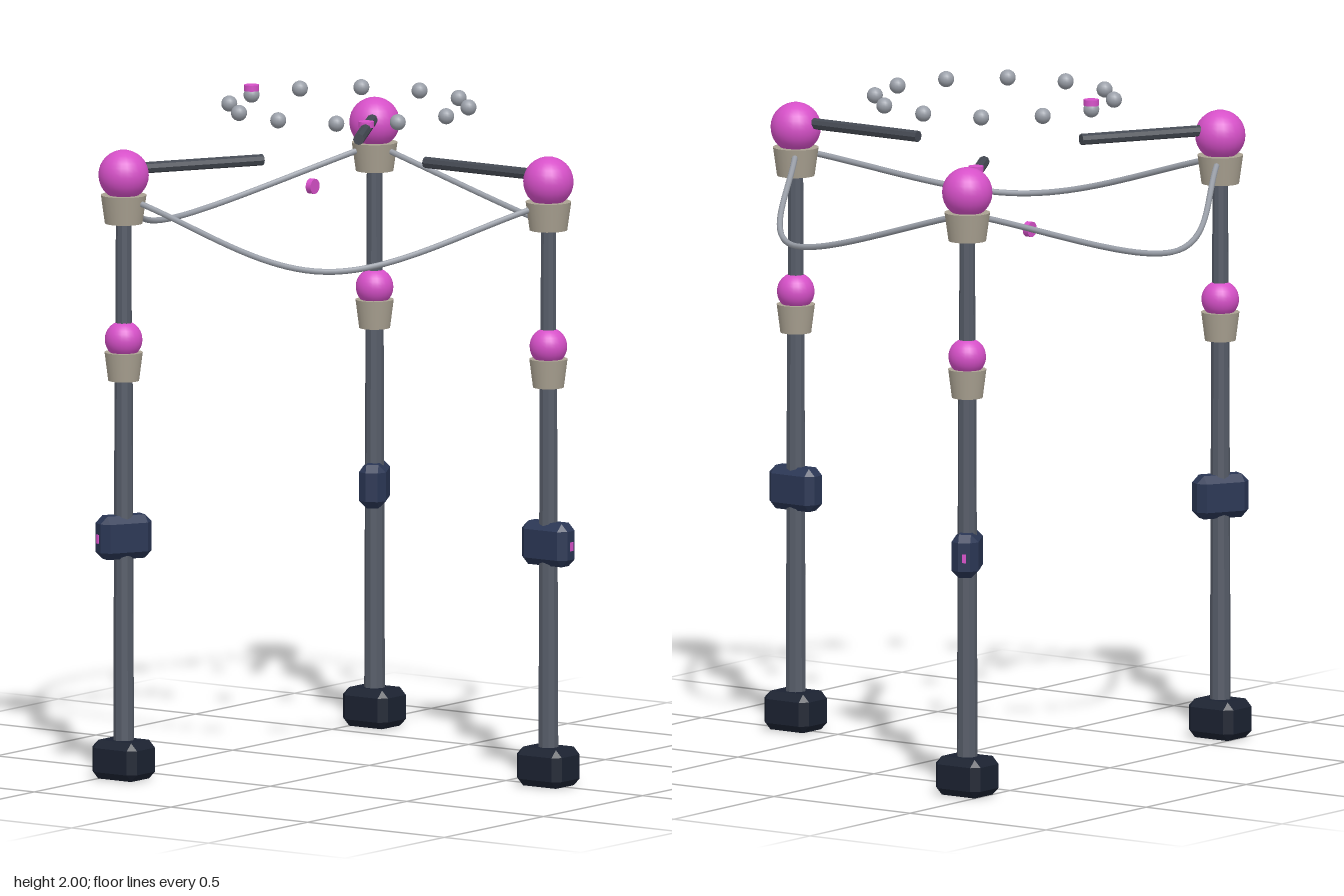
import * as THREE from 'three';
import { ConvexGeometry } from 'three/addons/geometries/ConvexGeometry.js';

const CX = -0.075;   // x of the tripod's axis
const POLE_R = 0.73; // distance of the poles from the axis

const mat = (color, flatShading = false) => {
  const m = new THREE.MeshStandardMaterial({ color });
  m.flatShading = flatShading;
  return m;
};

// Box with every edge cut at 45 degrees
function chamferBox(w, h, d, c) {
  const [a, b, e] = [w / 2, h / 2, d / 2];
  const points = [];
  for (const x of [-1, 1]) for (const y of [-1, 1]) for (const z of [-1, 1]) {
    points.push(
      new THREE.Vector3(x * a, y * (b - c), z * (e - c)),
      new THREE.Vector3(x * (a - c), y * b, z * (e - c)),
      new THREE.Vector3(x * (a - c), y * (b - c), z * e));
  }
  return new ConvexGeometry(points);
}

function add(parent, name, geometry, material, x = 0, y = 0, z = 0) {
  const mesh = new THREE.Mesh(geometry, material);
  mesh.name = name;
  mesh.position.set(x, y, z);
  parent.add(mesh);
  return mesh;
}

// Point at a radius and angle around the tripod's axis
const polar = (r, angle, y) =>
  new THREE.Vector3(CX + r * Math.cos(angle), y, r * Math.sin(angle));

export function createModel() {
  const model = new THREE.Group();
  model.name = 'tripodFrame';

  const pink = mat(0xd650c8);
  const steel = mat(0x565c68, true);
  const darkSteel = mat(0x444952, true);
  const navy = mat(0x2a3654, true);
  const black = mat(0x1b2231, true);
  const beige = mat(0xaaa292);
  const silver = mat(0x9a9fa8);

  const footGeo = chamferBox(0.164, 0.116, 0.134, 0.022);
  const boxGeo = chamferBox(0.166, 0.13, 0.08, 0.022);
  const lowerGeo = new THREE.CylinderGeometry(0.027, 0.031, 1.18, 10);
  const upperGeo = new THREE.CylinderGeometry(0.023, 0.025, 0.52, 10);
  const lowerCup = new THREE.CylinderGeometry(0.057, 0.046, 0.085, 24);
  const upperCup = new THREE.CylinderGeometry(0.068, 0.056, 0.085, 24);
  const lowerBall = new THREE.SphereGeometry(0.056, 24, 16);
  const upperBall = new THREE.SphereGeometry(0.075, 24, 16);
  const armGeo = new THREE.CylinderGeometry(0.017, 0.017, 0.45, 8);
  const lampGeo = new THREE.BoxGeometry(0.012, 0.026, 0.012);

  // Three poles, each with foot, clamp, two joints and an inward arm
  for (let i = 0; i < 3; i++) {
    const angle = (i * 2 * Math.PI) / 3;
    const p = polar(POLE_R, angle, 0);
    const pole = new THREE.Group();
    pole.name = 'pole' + (i + 1);
    pole.position.copy(p);
    pole.rotation.y = -angle; // local +x points outward
    model.add(pole);

    add(model, 'foot', footGeo, black, p.x, 0.058, p.z);
    add(pole, 'lowerTube', lowerGeo, steel, 0, 0.65, 0);
    add(pole, 'upperTube', upperGeo, steel, 0, 1.46, 0);
    add(pole, 'clampBox', boxGeo, navy, 0, 0.725, 0);
    add(pole, 'clampLamp', lampGeo, pink, 0.081, 0.722, 0);
    add(pole, 'lowerCup', lowerCup, beige, 0, 1.235, 0);
    add(pole, 'lowerBall', lowerBall, pink, 0, 1.315, 0);
    add(pole, 'upperCup', upperCup, beige, 0, 1.706, 0);
    add(pole, 'upperBall', upperBall, pink, 0, 1.808, 0);
    add(pole, 'arm', armGeo, darkSteel, -0.225, 1.825, 0).rotation.z = Math.PI / 2;

    // Cable sagging outward to the next pole
    const cable = new THREE.CatmullRomCurve3([
      polar(POLE_R, angle, 1.742),
      polar(0.655, angle + Math.PI / 3, 1.572),
      polar(POLE_R, angle + (2 * Math.PI) / 3, 1.742),
    ]);
    add(model, 'cable', new THREE.TubeGeometry(cable, 48, 0.009, 8), silver);
  }

  // Floating ring of beads
  const beadGeo = new THREE.SphereGeometry(0.024, 16, 12);
  for (let i = 0; i < 12; i++) {
    const p = polar(0.356, (i * Math.PI) / 6, 1.97);
    add(model, 'bead', beadGeo, silver, p.x, p.y, p.z);
  }

  // Small marker discs: on a bead, on the back arm and beside the back cable
  const discGeo = new THREE.CylinderGeometry(0.023, 0.023, 0.018, 16);
  add(model, 'beadMarker', discGeo, pink, CX - 0.356, 1.991, 0);
  add(model, 'armMarker', discGeo, pink, -0.32, 1.838, -0.425);
  add(model, 'cableMarker', discGeo, pink, -0.44, 1.655, -0.32).rotation.z = Math.PI / 2;

  return model;
}
